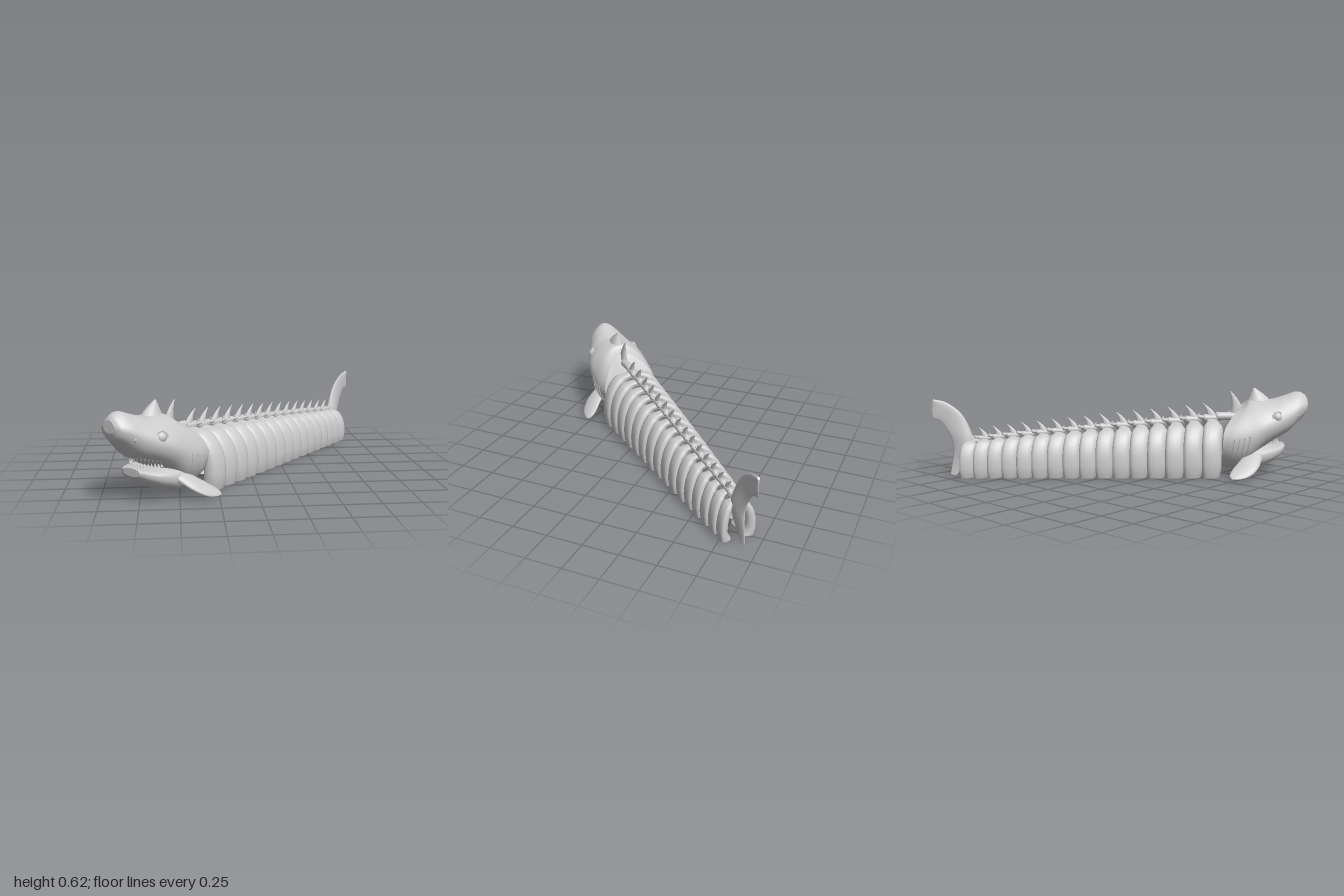
import * as THREE from 'three';

const V = (x, y, z) => new THREE.Vector3(x, y, z);
const lerp = THREE.MathUtils.lerp;
const smooth = THREE.MathUtils.smoothstep;
const material = new THREE.MeshStandardMaterial({ color: 0xcccccc });

function mesh(name, geometry, parent) {
  const m = new THREE.Mesh(geometry, material);
  m.name = name;
  parent.add(m);
  return m;
}

// Closed tube of cross-sections: fn(t, angle) gives the point; ends are capped.
function loft(nt, na, fn) {
  const pos = [], idx = [];
  const ring = (t) => {
    const start = pos.length / 3, mid = V(0, 0, 0);
    for (let j = 0; j < na; j++) {
      const p = fn(t, (j / na) * Math.PI * 2);
      mid.addScaledVector(p, 1 / na);
      pos.push(p.x, p.y, p.z);
    }
    return [start, mid];
  };
  for (let i = 0; i <= nt; i++) ring(i / nt);
  for (let i = 0; i < nt; i++) for (let j = 0; j < na; j++) {
    const k = (j + 1) % na, a = i * na + j, b = i * na + k;
    idx.push(a, b, a + na, b, b + na, a + na);
  }
  for (const t of [0, 1]) {
    const [start, mid] = ring(t), c = pos.length / 3;
    pos.push(mid.x, mid.y, mid.z);
    for (let j = 0; j < na; j++) {
      const a = start + j, b = start + ((j + 1) % na);
      idx.push(c, ...(t ? [a, b] : [b, a]));
    }
  }
  // Turn the faces outward if the enclosed volume is negative
  const at = (i) => V(pos[i * 3], pos[i * 3 + 1], pos[i * 3 + 2]);
  let volume = 0;
  for (let i = 0; i < idx.length; i += 3) volume += at(idx[i]).dot(at(idx[i + 1]).cross(at(idx[i + 2])));
  if (volume < 0) idx.reverse();
  const g = new THREE.BufferGeometry();
  g.setAttribute('position', new THREE.Float32BufferAttribute(pos, 3));
  g.setIndex(idx);
  g.computeVertexNormals();
  return g;
}

const power = (v, e) => Math.sign(v) * Math.abs(v) ** e;

// Smooth lookup in rows of [z, halfWidth, top, bottom]
function profile(rows) {
  const a = new THREE.CatmullRomCurve3(rows.map((r) => V(r[0], r[1], 0)));
  const b = new THREE.CatmullRomCurve3(rows.map((r) => V(r[0], r[2], r[3])));
  return (t) => {
    const p = a.getPoint(t), q = b.getPoint(t);
    return { z: p.x, w: p.y, top: q.y, bottom: q.z };
  };
}

const skull = profile([
  [0.68, 0.215, 0.48, 0.07], [0.76, 0.237, 0.51, 0.04], [0.86, 0.243, 0.53, 0.06],
  [0.98, 0.235, 0.535, 0.18], [1.08, 0.205, 0.54, 0.245], [1.18, 0.162, 0.57, 0.3],
  [1.26, 0.122, 0.594, 0.375], [1.31, 0.088, 0.575, 0.425], [1.33, 0.05, 0.55, 0.47]]);
const jaw = profile([
  [0.8, 0.17, 0.2, 0.05], [0.9, 0.205, 0.24, 0.035], [1.0, 0.2, 0.25, 0.065],
  [1.08, 0.165, 0.245, 0.105], [1.13, 0.12, 0.235, 0.14], [1.16, 0.07, 0.22, 0.17]]);

function skullPoint(t, a) {
  const { z, w, top, bottom } = skull(t);
  const c = power(Math.cos(a), 0.9), s = power(Math.sin(a), 0.9), upper = Math.max(0, s);
  const narrow = 1 - lerp(0.25, 0.42, smooth(z, 1.1, 1.3)) * upper;
  const lean = 0.15 * upper ** 2 * smooth(0.95 - z, 0, 0.27);
  return V(w * c * narrow, lerp(bottom, top, (s + 1) / 2), z + lean);
}

// Backward-curving spike
function thorn(base, height, length, width, sweep) {
  return loft(8, 10, (t, a) => {
    const r = Math.max(0.08, (1 - t) ** 0.75);
    return V(base.x + width * r * Math.cos(a), base.y + height * t,
      base.z + length * r * Math.sin(a) - sweep * t * t);
  });
}

function buildHead() {
  const head = new THREE.Group();
  head.name = 'head';
  mesh('skull', loft(40, 40, skullPoint), head);
  mesh('lowerJaw', loft(24, 32, (t, a) => {
    const { z, w, top, bottom } = jaw(t), s = Math.sin(a);
    const dish = s > 0 ? 0.035 * s * Math.sin(Math.PI * t) : 0;
    return V(w * power(Math.cos(a), 0.8), lerp(bottom, top, (power(s, 0.8) + 1) / 2) - dish, z);
  }), head);
  mesh('headFin', thorn(V(0, 0.5, 0.98), 0.12, 0.105, 0.065, 0.04), head);
  mesh('neckSpike', thorn(V(0, 0.44, 0.82), 0.16, 0.05, 0.025, 0.055), head);
  const neck = mesh('neckBone', new THREE.CapsuleGeometry(0.03, 0.14, 6, 14), head);
  neck.rotation.x = Math.PI / 2;
  neck.position.set(0, 0.415, 0.75);

  // Teeth along both lips
  for (let i = 0; i <= 16; i++) {
    const a = lerp(-1.25, 1.25, i / 16);
    const upper = mesh('upperTooth', new THREE.ConeGeometry(0.012, 0.035, 6), head);
    upper.position.set(0.15 * Math.sin(a), 0.26 + 0.025 * Math.cos(a), 1.0 + 0.16 * Math.cos(a));
    upper.rotation.x = Math.PI;
    const lower = mesh('lowerTooth', new THREE.ConeGeometry(0.01, 0.028, 6), head);
    lower.position.set(0.135 * Math.sin(a), 0.24, 0.98 + 0.14 * Math.cos(a));
  }

  for (const side of [-1, 1]) {
    const eye = mesh('eye', new THREE.SphereGeometry(0.038, 20, 14), head);
    eye.position.set(side * 0.17, 0.425, 1.07);
    const lid = mesh('eyeRim', new THREE.TorusGeometry(0.039, 0.007, 8, 24), head);
    lid.position.set(side * 0.178, 0.425, 1.073);
    lid.rotation.y = side * 1.15;
    const nostril = mesh('nostril', new THREE.SphereGeometry(0.015, 12, 8), head);
    nostril.position.set(side * 0.118, 0.43, 1.232);

    // Gill ridges follow the cheek
    for (let i = 0; i < 4; i++) {
      const pts = [-0.6, -0.4, -0.2, 0].map((a, k) => {
        const p = skullPoint(0.1 + i * 0.045 + k * 0.008, a);
        return p.setX((p.x - 0.002) * side);
      });
      mesh('gill', new THREE.TubeGeometry(new THREE.CatmullRomCurve3(pts), 12, 0.007, 6), head);
    }

    // Paddle-shaped pectoral fin
    const path = new THREE.CatmullRomCurve3([
      V(0.16, 0.16, 0.92), V(0.25, 0.1, 0.86), V(0.31, 0.05, 0.79), V(0.352, 0.018, 0.72)]);
    mesh('pectoralFin', loft(18, 20, (t, a) => {
      const p = path.getPoint(t);
      const chord = 0.078 * Math.sqrt(Math.max(0.003, 1 - t ** 4)) * (0.8 + 0.2 * Math.sin(t * 3));
      const thick = lerp(0.035, 0.015, t) * Math.sqrt(Math.max(0.01, 1 - t ** 6));
      const c = Math.cos(a) * chord, s = Math.sin(a) * thick;
      return V(side * (p.x + 0.5 * c + 0.4 * s), Math.max(0, p.y - 0.25 * c + 0.8 * s), p.z + 0.8 * c);
    }), head);
  }
  return head;
}

// One body segment: rib arch, vertebra, link ring and spike
function buildSegment(k, z, pitch) {
  const seg = new THREE.Group();
  seg.name = 'bodySegment';
  const thick = lerp(0.049, 0.031, k), w = lerp(0.25, 0.124, k) - thick;
  const h = lerp(0.415, 0.268, k) - thick, leg = h * 0.3;
  mesh('rib', loft(56, 16, (t, a) => {
    const end = t < 0.14 ? t / 0.14 : t > 0.86 ? (1 - t) / 0.14 : 1;
    const arc = THREE.MathUtils.clamp((t - 0.14) / 0.72, 0, 1) * Math.PI;
    const up = Math.sin(arc), nx = Math.cos(arc), foot = (1 - end) ** 2;
    // Feet curl inward and thicken
    const x = w * power(nx, 0.85) - nx * foot * thick * 0.6;
    const y = end < 1 ? leg * end : leg + (h - leg) * power(up, 0.9);
    // Leaf shape: broad flank, narrow at the spine, leaning forward
    const crown = smooth(up, 0.86, 1);
    const half = pitch * lerp(0.53, 0.34, crown) * (1 - 0.1 * foot);
    const r = thick * power(Math.cos(a), 0.75) * lerp(1, 0.7, crown) * (1 + 0.3 * foot);
    return V(x + nx * r, Math.max(0, y + up * r),
      z + half * power(Math.sin(a), 0.75) + pitch * 0.28 * up ** 3 - 0.12 * pitch * Math.cos(a));
  }), seg);

  const size = lerp(1, 0.7, k), top = h + thick * 0.75, zc = z + pitch * 0.14;
  const bone = mesh('vertebra', new THREE.CapsuleGeometry(0.028 * size, pitch * 0.55, 6, 12), seg);
  bone.rotation.x = Math.PI / 2;
  bone.position.set(0, top, zc);
  const ring = mesh('linkRing', new THREE.TorusGeometry(0.025 * size, 0.011 * size, 8, 18), seg);
  ring.rotation.x = Math.PI / 2;
  ring.position.set(0, top + 0.008, zc - pitch * 0.5);
  mesh('spike', thorn(V(0, top, zc + 0.01), 0.108 * size, 0.042 * size, 0.022 * size, 0.065 * size), seg);
  mesh('spikeNub', thorn(V(0, top, zc + 0.04 * size), 0.05 * size, 0.02 * size, 0.017 * size, -0.015), seg);
  return seg;
}

function buildTail() {
  const tail = new THREE.Group();
  tail.name = 'tail';
  // Leading and trailing edges of the fin, from the lower lobe to the upper tip
  const lead = new THREE.CatmullRomCurve3([
    V(0, 0, -1.215), V(0, 0.06, -1.16), V(0, 0.15, -1.11), V(0, 0.24, -1.09),
    V(0, 0.34, -1.115), V(0, 0.45, -1.175), V(0, 0.53, -1.28), V(0, 0.552, -1.365)]);
  const trail = new THREE.CatmullRomCurve3([
    V(0, 0.01, -1.262), V(0, 0.07, -1.25), V(0, 0.15, -1.237), V(0, 0.23, -1.238),
    V(0, 0.32, -1.27), V(0, 0.4, -1.325), V(0, 0.42, -1.372), V(0, 0.535, -1.378)]);
  mesh('tailFin', loft(36, 20, (t, a) => {
    const p = lead.getPoint(t).lerp(trail.getPoint(t), (1 - Math.cos(a)) / 2);
    const thick = 0.013 + 0.036 * Math.exp(-(((t - 0.42) / 0.2) ** 2));
    return p.setX(thick * Math.sin(a) * (0.7 + 0.3 * Math.cos(a)));
  }), tail);
  const root = mesh('tailRoot', new THREE.CapsuleGeometry(0.022, 0.12, 6, 12), tail);
  root.rotation.x = Math.PI / 2;
  root.position.set(0, 0.25, -1.1);
  return tail;
}

export function createModel() {
  const body = new THREE.Group();
  body.name = 'fishBody';
  body.add(buildHead());
  const count = 16;
  let z = 0.67;
  for (let i = 0; i < count; i++) {
    const k = i / (count - 1), pitch = lerp(0.134, 0.097, k);
    body.add(buildSegment(k, z - pitch / 2, pitch));
    z -= pitch;
  }
  body.add(buildTail());
  // The body lies diagonally, head towards front right
  body.rotation.y = -0.756;
  const model = new THREE.Group();
  model.name = 'articulatedFish';
  model.add(body);
  return model;
}
